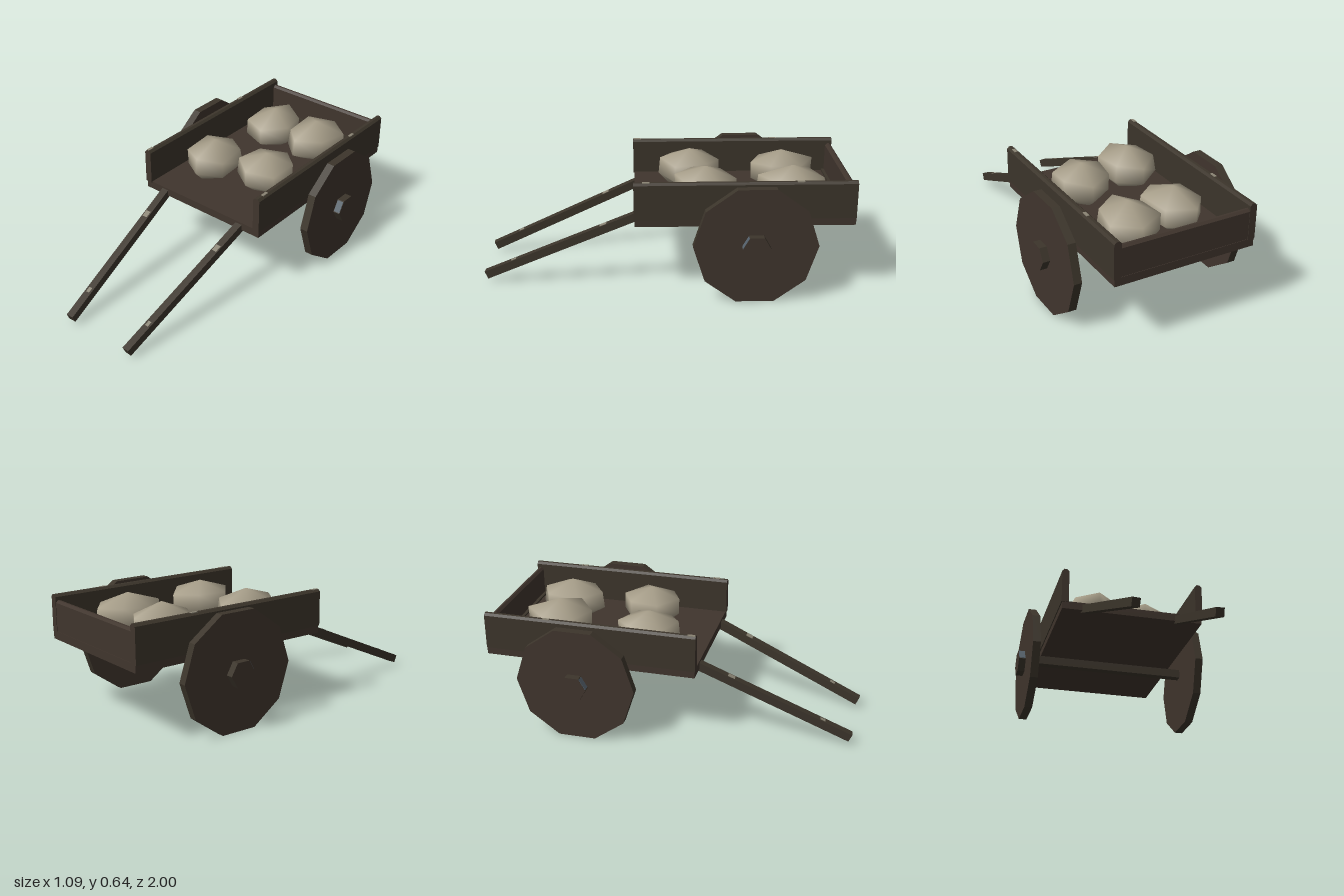
import * as THREE from 'three';
import { mergeVertices } from 'three/addons/utils/BufferGeometryUtils.js';

function mat(name, color) {
  const m = new THREE.MeshStandardMaterial({ color });
  m.name = name;
  return m;
}

export function createModel() {
  const plank = mat('plank wood', 0x40352d);
  const trim = mat('trim wood', 0x3c352b);
  const cloth = mat('sack cloth', 0xa89f8a);
  const shade = mat('sack underside', 0x464d55);
  const worn = mat('worn wood', 0x8a8474);
  const iron = mat('hub iron', 0x56626c);

  const cart = new THREE.Group();
  cart.name = 'handCart';

  function add(parent, name, geo, material, x = 0, y = 0, z = 0) {
    const mesh = new THREE.Mesh(geo, material);
    mesh.name = name;
    mesh.position.set(x, y, z);
    parent.add(mesh);
    return mesh;
  }
  const box = (w, h, d) => new THREE.BoxGeometry(w, h, d);

  // Board with a bevelled top edge, running along z
  function board(width, height, length) {
    const w = width / 2, c = 0.012;
    const s = new THREE.Shape();
    s.moveTo(-w, 0);
    s.lineTo(w, 0);
    s.lineTo(w, height - c);
    s.lineTo(w - c, height);
    s.lineTo(c - w, height);
    s.lineTo(-w, height - c);
    s.closePath();
    return new THREE.ExtrudeGeometry(s, { depth: length, bevelEnabled: false })
      .translate(0, 0, -length / 2);
  }

  // Faceted disc with its axis along x
  function disc(radius, width, sides) {
    const g = new THREE.CylinderGeometry(radius, radius, width, sides).rotateZ(Math.PI / 2).toNonIndexed();
    g.computeVertexNormals();
    return g;
  }

  // Bed and boards
  add(cart, 'bedFloor', box(0.8, 0.045, 1.17), plank, 0, 0.4125, -0.415);
  add(cart, 'backBoard', board(0.035, 0.172, 0.73).rotateY(Math.PI / 2), plank, 0, 0.43, -0.98);
  add(cart, 'backSill', box(0.73, 0.012, 0.02), trim, 0, 0.439, -0.955);

  // Axle
  add(cart, 'axle', box(0.94, 0.05, 0.046), trim, 0, 0.345, -0.47);

  for (const side of [-1, 1]) {
    const label = side > 0 ? 'left' : 'right';
    add(cart, label + 'SideBoard', board(0.04, 0.202, 1.175), [plank, trim], side * 0.385, 0.43, -0.4125);
    for (const z of side > 0 ? [-0.7, 0.11] : [-0.65, 0.15]) {
      add(cart, label + 'RailWear', box(0.016, 0.004, 0.04), worn, side * 0.388, 0.632, z);
    }

    // Wheel and hub
    const wheel = new THREE.Group();
    wheel.name = label + 'Wheel';
    wheel.position.set(side * 0.4825, 0.315, -0.462);
    cart.add(wheel);
    add(wheel, 'wheelDisc', disc(0.33, 0.045, 10), [trim, plank, plank]);
    add(wheel, 'hub', disc(0.075, 0.045, 6), [trim, plank, plank], side * 0.0405);
    const a = Math.PI / 6;
    const plate = add(wheel, 'hubPlate', box(0.036, 0.066, 0.004), iron,
      side * 0.043, Math.sin(a) * 0.065, Math.cos(a) * 0.065);
    plate.rotation.x = -a;

    // Pull shaft
    const start = new THREE.Vector3(side * 0.268, 0.412, 0.14);
    const end = new THREE.Vector3(side * 0.205, 0.043, 0.99);
    const length = start.distanceTo(end);
    const shaft = new THREE.Group();
    shaft.name = label + 'Shaft';
    shaft.position.copy(start);
    shaft.lookAt(end);
    cart.add(shaft);
    add(shaft, 'shaftBar', box(0.042, 0.045, length), trim, 0, 0, length / 2);
    add(shaft, 'shaftWear', box(0.03, 0.004, 0.04), worn, 0, 0.0225, length * 0.225);
    add(shaft, 'shaftWear', box(0.02, 0.004, 0.03), worn, 0, 0.0225, length * 0.81);
  }

  // Lumpy sack: six-sided lathe with a dark underside row
  function sack(seed) {
    const profile = [[0, 0], [0.6, 0.02], [0.95, 0.25], [0.92, 0.7], [0, 1]]
      .map(([r, y]) => new THREE.Vector2(r, y));
    let g = new THREE.LatheGeometry(profile, 6);
    g.deleteAttribute('normal');
    g.deleteAttribute('uv');
    g = mergeVertices(g, 1e-4);
    const p = g.attributes.position;
    for (let i = 0; i < p.count; i++) {
      const x = p.getX(i), y = p.getY(i), z = p.getZ(i);
      const r = Math.hypot(x, z);
      const k = 1 + 0.07 * Math.sin(seed * 2.3 + x * 4 + z * 3 + y * 2);
      p.setXYZ(i, x * k, y + r * 0.06 * Math.sin(seed + x * 3 - z * 2) * (y > 0.1 ? 1 : 0), z * k);
    }
    g.computeVertexNormals();
    for (let i = 0; i < 6; i++) {
      g.addGroup(i * 24, 6, 1);
      g.addGroup(i * 24 + 6, 18, 0);
    }
    return g;
  }

  // x, z, half width, half length, turn
  const sacks = [
    [-0.13, -0.665, 0.158, 0.19, 0.15],
    [0.15, -0.69, 0.16, 0.192, -0.1],
    [-0.165, -0.145, 0.155, 0.195, 0.05],
    [0.153, -0.215, 0.162, 0.172, -0.12],
  ];
  sacks.forEach(([x, z, w, l, turn], i) => {
    const mesh = add(cart, 'sack' + (i + 1), sack(i + 1), [cloth, shade], x, 0.44, z);
    mesh.scale.set(w, 0.203, l);
    mesh.rotation.y = turn;
  });

  return cart;
}
